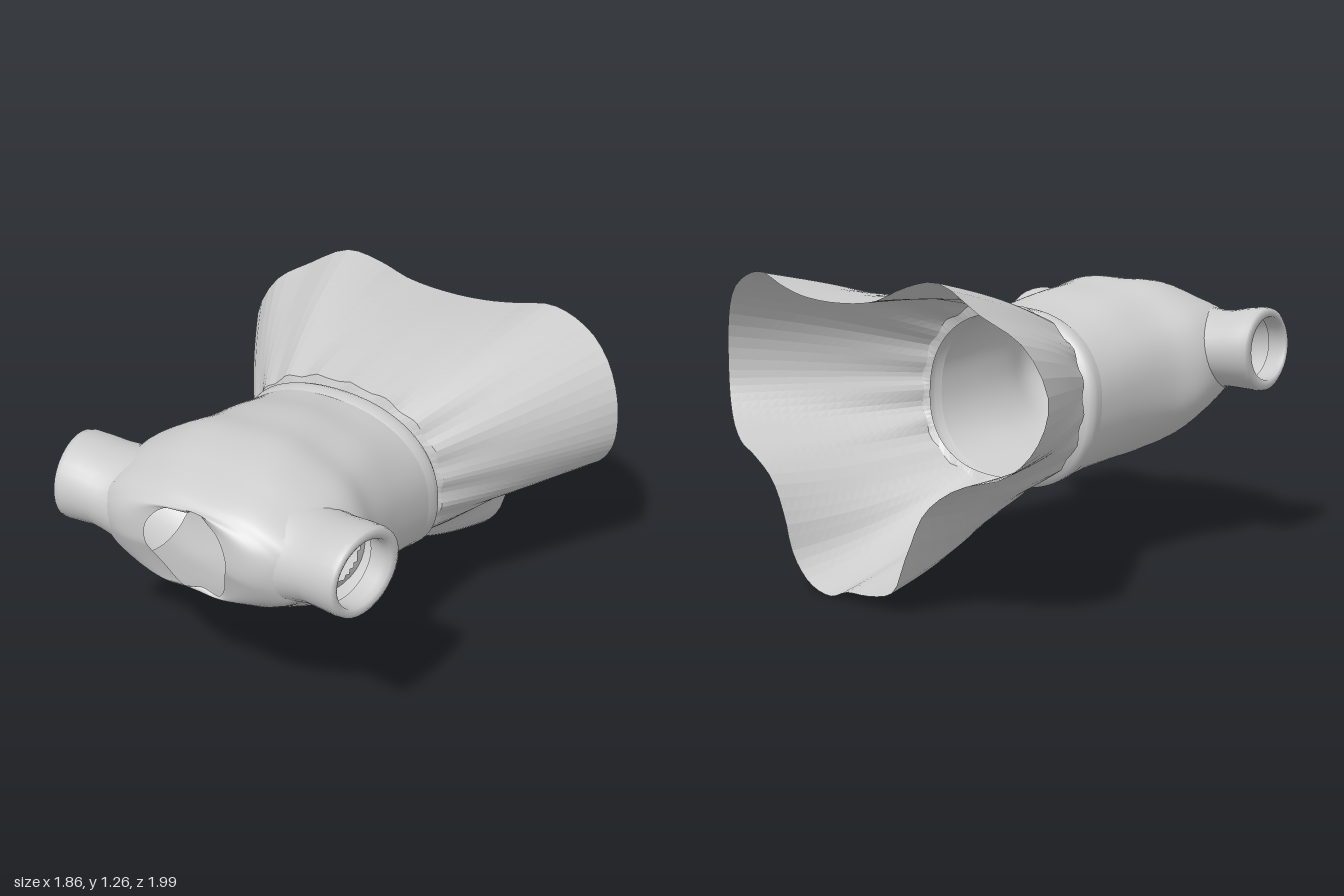
import * as THREE from 'three';

const SEG = 96;
const V = (x, y, z) => new THREE.Vector3(x, y, z);

// Skin closed rings of points into a tube; skip(p) leaves openings.
function loft(name, rings, { flat = false, skip = null } = {}) {
  const n = rings[0].length, index = [];
  for (let i = 0; i < rings.length - 1; i++) {
    for (let j = 0; j < n; j++) {
      const k = (j + 1) % n;
      const mid = rings[i][j].clone().add(rings[i + 1][k]).multiplyScalar(0.5);
      if (skip && skip(mid)) continue;
      const a = i * n + j, b = i * n + k, c = a + n, d = b + n;
      index.push(a, b, d, a, d, c);
    }
  }
  const geo = new THREE.BufferGeometry().setFromPoints(rings.flat());
  geo.setIndex(index);
  geo.computeVertexNormals();
  const mesh = new THREE.Mesh(geo, new THREE.MeshStandardMaterial({
    color: 0xcccccc, side: THREE.DoubleSide, flatShading: flat,
  }));
  mesh.name = name;
  return mesh;
}

const evenAngles = Array.from({ length: SEG }, (_, j) => (j / SEG) * Math.PI * 2);

// Rounded oval ring facing z, fuller below than above, leaning by shear so its top sits further forward.
function oval(z, hw, top, bot, shear = 0, angles = evenAngles) {
  const cy = (top + bot) / 2, ry = (top - bot) / 2;
  return angles.map((a) => {
    const c = Math.cos(a), s = Math.sin(a), n = s < 0 ? 2.4 : 2.2;
    const r = Math.pow(Math.abs(c) ** n + Math.abs(s) ** n, -1 / n);
    const y = cy + ry * r * s;
    return V(hw * r * c, y, z + shear * (y - 0.85));
  });
}

// Closed smooth outline from x, y pairs with z given by a rule.
function outline(pairs, zRule) {
  const curve = new THREE.CatmullRomCurve3(pairs.map(([x, y]) => V(x, y, 0)), true);
  return evenAngles.map((_, j) => {
    const p = curve.getPoint(j / SEG);
    p.z = zRule(p.x, p.y);
    return p;
  });
}

function bodice() {
  // z, half width, top, bottom, shear
  const rows = [
    [-0.025, 0.468, 1.068, 0.345, 0.07], [0.08, 0.464, 1.085, 0.365, 0.04], [0.24, 0.464, 1.12, 0.39, 0],
    [0.4, 0.482, 1.14, 0.41, 0], [0.55, 0.53, 1.162, 0.45, 0], [0.68, 0.525, 1.15, 0.51, 0],
    [0.8, 0.5, 1.115, 0.575, 0], [0.9, 0.47, 1.065, 0.618, 0.1], [0.935, 0.42, 1.035, 0.632, 0.14],
  ];
  const size = new THREE.CatmullRomCurve3(rows.map((r) => V(r[0], r[1], r[4])));
  const height = new THREE.CatmullRomCurve3(rows.map((r) => V(r[0], r[2], r[3])));
  const rings = [];
  for (let i = 0; i <= 48; i++) {
    const s = size.getPoint(i / 48), h = height.getPoint(i / 48);
    const ring = oval(s.x, s.y, h.y, h.z, s.z);
    // soft creases in the cloth
    ring.forEach((p, j) => {
      const a = evenAngles[j];
      p.y += 0.006 * Math.sin(a) * Math.sin(9 * a + 5 * s.x) * Math.sin((i / 48) * Math.PI);
    });
    rings.push(ring);
  }
  // ragged neckline
  const neck = outline([
    [0.2, 0.87], [0.16, 0.96], [0.1, 1.0], [0.05, 1.03], [0, 1.01], [-0.1, 1.0], [-0.17, 0.93],
    [-0.18, 0.85], [-0.13, 0.74], [-0.06, 0.63], [0.02, 0.66], [0.1, 0.65], [0.15, 0.71], [0.18, 0.79],
  ], (x, y) => 0.9 + 0.06 * Math.min(1, (y - 0.63) / 0.2) + 0.9 * x * x);
  const last = rings[rings.length - 1];
  for (let i = 1; i <= 8; i++) {
    const t = i / 8;
    rings.push(last.map((p, j) => {
      const q = p.clone().lerp(neck[j], t);
      q.z += (0.012 + 0.014 * Math.abs(Math.cos(evenAngles[j]))) * Math.sin(t * Math.PI);
      return q;
    }));
  }
  // armholes
  const skip = (p) => Math.abs(p.x) > 0.31 && ((p.z - 0.77) / 0.175) ** 2 + ((p.y - 0.88) / 0.145) ** 2 < 1;
  return loft('bodice', rings, { skip });
}

function waistband() {
  return loft('waistband', [
    oval(-0.118, 0.44, 1.05, 0.375, 0.075), oval(-0.1, 0.465, 1.07, 0.345, 0.075),
    oval(-0.08, 0.48, 1.078, 0.334, 0.075), oval(-0.055, 0.475, 1.076, 0.336, 0.075),
    oval(-0.037, 0.472, 1.073, 0.34, 0.075), oval(-0.025, 0.468, 1.068, 0.345, 0.07),
  ]);
}

function skirt() {
  const hem = outline([
    [0.925, 0.8], [0.91, 0.95], [0.83, 1.1], [0.68, 1.21], [0.53, 1.245], [0.35, 1.2], [0.2, 1.17],
    [0, 1.16], [-0.2, 1.18], [-0.35, 1.24], [-0.5, 1.265], [-0.7, 1.16], [-0.85, 1.06], [-0.93, 0.87],
    [-0.89, 0.7], [-0.79, 0.59], [-0.6, 0.53], [-0.45, 0.42], [-0.36, 0.25], [-0.27, 0.09], [-0.13, 0.05],
    [0, 0.04], [0.1, 0.005], [0.22, 0.03], [0.31, 0.12], [0.36, 0.27], [0.45, 0.42], [0.6, 0.5],
    [0.72, 0.53], [0.83, 0.6], [0.9, 0.7],
  ], (x, y) => -0.995 + 0.165 * Math.pow(Math.abs(x) / 0.93, 3.5)
    + 0.1 * Math.max(0, 0.2 - y) + 0.25 * Math.max(0, y - 1.17));
  // where each hem point is gathered into the waist; lower folds are drawn together underneath
  const angles = hem.map((p) => {
    const a = Math.atan2((p.y - 0.72) / 0.36, p.x / 0.45);
    return a < 0 ? a + 0.13 * Math.sin(2 * a) : a;
  });
  const gather = oval(-0.118, 0.44, 1.05, 0.375, 0.075, angles);
  const top = oval(-0.135, 0.468, 1.09, 0.355, 0.075, angles);
  const rings = [];
  for (let i = 0; i <= 20; i++) {
    const t = i / 20;
    rings.push(hem.map((p, j) => {
      const q = p.clone().lerp(top[j], t);
      // gathers fade from the waist, with a belly that is fuller above and below than at the sides
      const a = angles[j], s = Math.sin(a);
      const belly = (0.01 + (s < 0 ? -0.032 : 0.018) * s) * Math.sin(t * Math.PI);
      const fold = 0.008 * Math.sin(18 * a) * t * t + belly;
      q.x += fold * Math.cos(a);
      q.y += fold * s;
      return q;
    }));
  }
  rings.push(gather);
  return loft('skirt', rings, { flat: true });
}

function sleeve(name, side) {
  // x, centre z, z radius, centre y, y radius: outside, rim, then lining
  const rows = [
    [0.31, 0.725, 0.235, 0.85, 0.215], [0.39, 0.735, 0.222, 0.855, 0.188], [0.45, 0.748, 0.213, 0.865, 0.17],
    [0.51, 0.758, 0.206, 0.875, 0.163], [0.58, 0.768, 0.2, 0.88, 0.172], [0.645, 0.776, 0.194, 0.882, 0.178],
    [0.668, 0.78, 0.189, 0.882, 0.174], [0.676, 0.784, 0.174, 0.883, 0.158], [0.671, 0.79, 0.15, 0.885, 0.135],
    [0.643, 0.79, 0.147, 0.885, 0.132], [0.58, 0.787, 0.155, 0.885, 0.138],
  ];
  const rings = rows.map(([x, cz, rz, cy, ry]) => {
    const tilt = 0.15 * Math.min(1, Math.max(0, (x - 0.4) / 0.2));
    return Array.from({ length: 32 }, (_, j) => {
      const a = (j / 32) * Math.PI * 2, dz = rz * Math.sin(a);
      return V(x - tilt * dz, cy + ry * Math.cos(a), cz + dz);
    });
  });
  const mesh = loft(name, rings);
  mesh.scale.x = side;
  return mesh;
}

export function createModel() {
  const dress = new THREE.Group();
  dress.name = 'dress';
  dress.add(bodice(), waistband(), skirt(), sleeve('leftSleeve', 1), sleeve('rightSleeve', -1));
  return dress;
}
